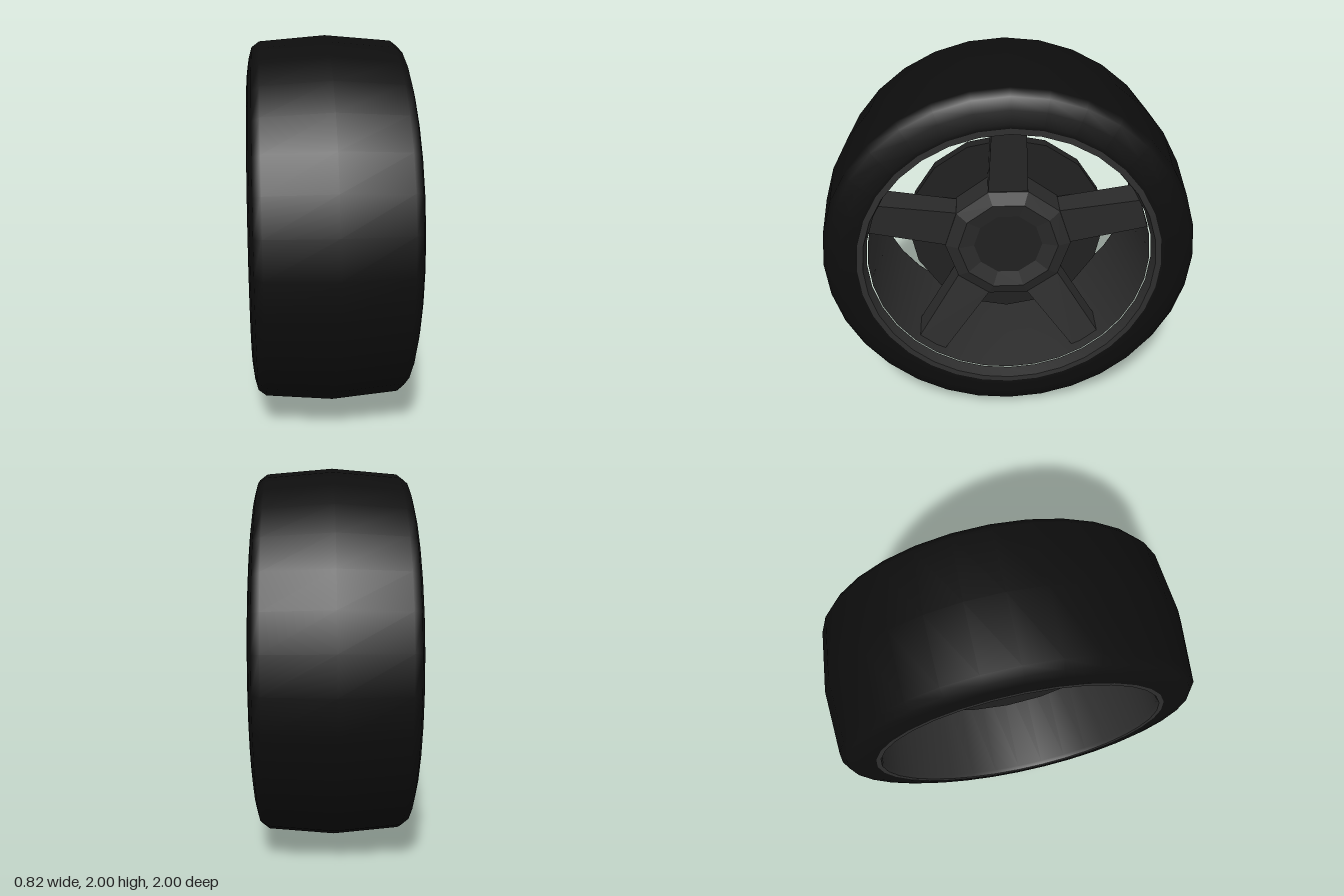
import * as THREE from 'three';
import { toCreasedNormals } from 'three/addons/utils/BufferGeometryUtils.js';

const rubber = new THREE.MeshStandardMaterial({ color: 0x0d0d0d });
const metal = new THREE.MeshStandardMaterial({ color: 0x2e2e2e });
const hubMetal = new THREE.MeshStandardMaterial({ color: 0x2a2a2a, flatShading: true });
const discMetal = new THREE.MeshStandardMaterial({ color: 0x202020, flatShading: true });

// Revolve [x, radius] pairs around the wheel axle (x axis)
function revolve(name, profile, sides, material, crease) {
  let geo = new THREE.LatheGeometry(profile.map(([x, r]) => new THREE.Vector2(r, x)), sides);
  geo.rotateZ(-Math.PI / 2);
  if (crease) geo = toCreasedNormals(geo, crease);
  const mesh = new THREE.Mesh(geo, material);
  mesh.name = name;
  return mesh;
}

// Tapered spoke pointing up, flaring forward towards the rim
function spokeGeometry() {
  const geo = new THREE.BoxGeometry(1, 1, 1);
  const p = geo.attributes.position;
  for (let i = 0; i < p.count; i++) {
    const outer = p.getY(i) > 0;
    const front = p.getX(i) > 0;
    const x = front ? (outer ? 0.28 : 0.18) : (outer ? 0.11 : 0.03);
    p.setXYZ(i, x, outer ? 0.742 : 0.31, Math.sign(p.getZ(i)) * (outer ? 0.085 : 0.105));
  }
  return geo;
}

export function createModel() {
  const model = new THREE.Group();
  model.name = 'wheel';
  const wheel = new THREE.Group();
  wheel.name = 'wheelAssembly';
  wheel.position.y = 1;
  model.add(wheel);

  // Tyre: sidewalls, rounded shoulders and a slightly crowned tread
  const half = [[0.41, 0.79], [0.412, 0.81], [0.402, 0.88], [0.385, 0.94], [0.345, 0.97]];
  const tyreProfile = [...half.map(([x, r]) => [-x, r]), [0, 1], ...half.slice().reverse()];
  wheel.add(revolve('tyre', tyreProfile, 32, rubber));

  // Rim: front lip, inner barrel and back lip
  wheel.add(revolve('frontLip', [[0.41, 0.79], [0.41, 0.76], [0.345, 0.746]], 32, metal, 0.5));
  wheel.add(revolve('rimBarrel', [[0.345, 0.74], [-0.39, 0.757], [-0.41, 0.765], [-0.41, 0.79]], 32, metal, 0.5));

  // Brake disc behind the spokes
  wheel.add(revolve('brakeDisc', [[-0.045, 0], [-0.045, 0.545], [0.02, 0.545], [0.02, 0]], 16, discMetal));

  // Ten-sided hub with a bevelled edge and a recessed cap
  wheel.add(revolve('hub', [[0, 0.34], [0.19, 0.34], [0.22, 0.27], [0.195, 0.185]], 10, hubMetal));
  wheel.add(revolve('hubCap', [[0.195, 0.185], [0.195, 0]], 10, discMetal));

  // Five spokes
  const geo = spokeGeometry();
  for (let i = 0; i < 5; i++) {
    const spoke = new THREE.Mesh(geo, hubMetal);
    spoke.name = 'spoke' + (i + 1);
    spoke.rotation.x = (i * Math.PI * 2) / 5;
    wheel.add(spoke);
  }
  return model;
}
